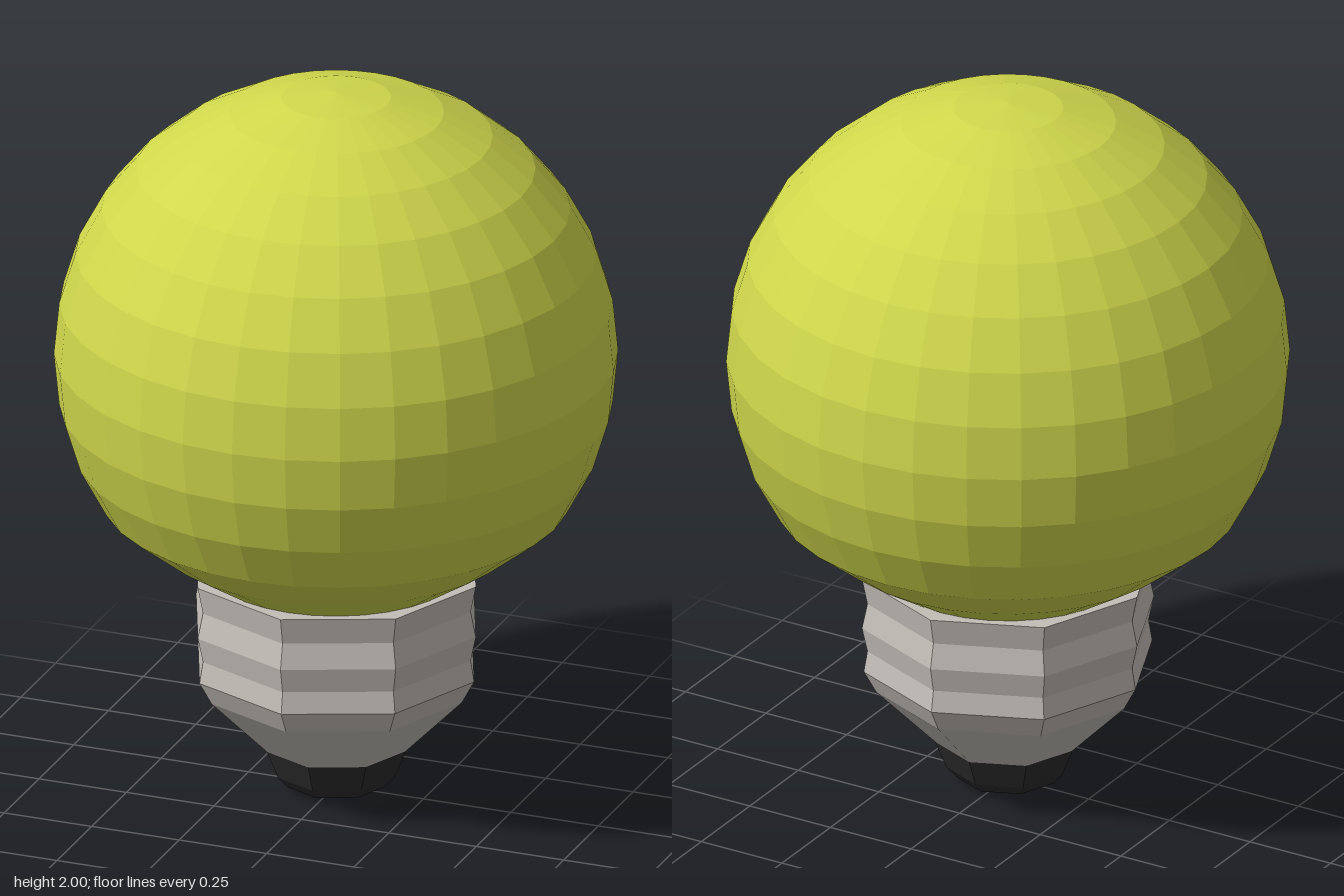
import * as THREE from 'three';

// Flat-shaded solid of revolution; the profile runs from bottom to top as [radius, y]
function turned(name, profile, sides, color) {
  const points = profile.map(([r, y]) => new THREE.Vector2(r, y));
  const material = new THREE.MeshStandardMaterial({ color, flatShading: true });
  const mesh = new THREE.Mesh(new THREE.LatheGeometry(points, sides), material);
  mesh.name = name;
  return mesh;
}

export function createModel() {
  const model = new THREE.Group();
  model.name = 'lightBulb';
  const metal = 0xc4beb8;

  // Glass globe: a tapered neck, then sphere rings up to the crown
  const radius = 0.75, centreY = 1.25, rings = 16;
  const globe = [[0.34, 0.63], [0.48, 0.72]];
  for (let i = 5; i <= rings; i++) {
    const a = Math.PI * (i / rings);
    // ring 5 is the lowest full ring, ring 16 is the crown
    globe.push([i === rings ? 0 : radius * Math.sin(a), centreY - radius * Math.cos(a)]);
  }
  model.add(turned('globe', globe, 32, 0xd0d84c));

  // Ribbed screw base narrowing to a cone, closed on top under the neck
  model.add(turned('screwBase', [
    [0.2, 0.13], [0.36, 0.295], [0.395, 0.36], [0.385, 0.42],
    [0.4, 0.49], [0.385, 0.56], [0.4, 0.635], [0, 0.635],
  ], 8, metal));

  // Dark insulator below the base
  model.add(turned('insulator', [
    [0.08, 0.003], [0.14, 0.018], [0.168, 0.05], [0.2, 0.13],
  ], 8, 0x2c2c2c));

  // Metal contact at the very bottom
  model.add(turned('contact', [[0, 0], [0.08, 0], [0.08, 0.003]], 8, metal));

  return model;
}
